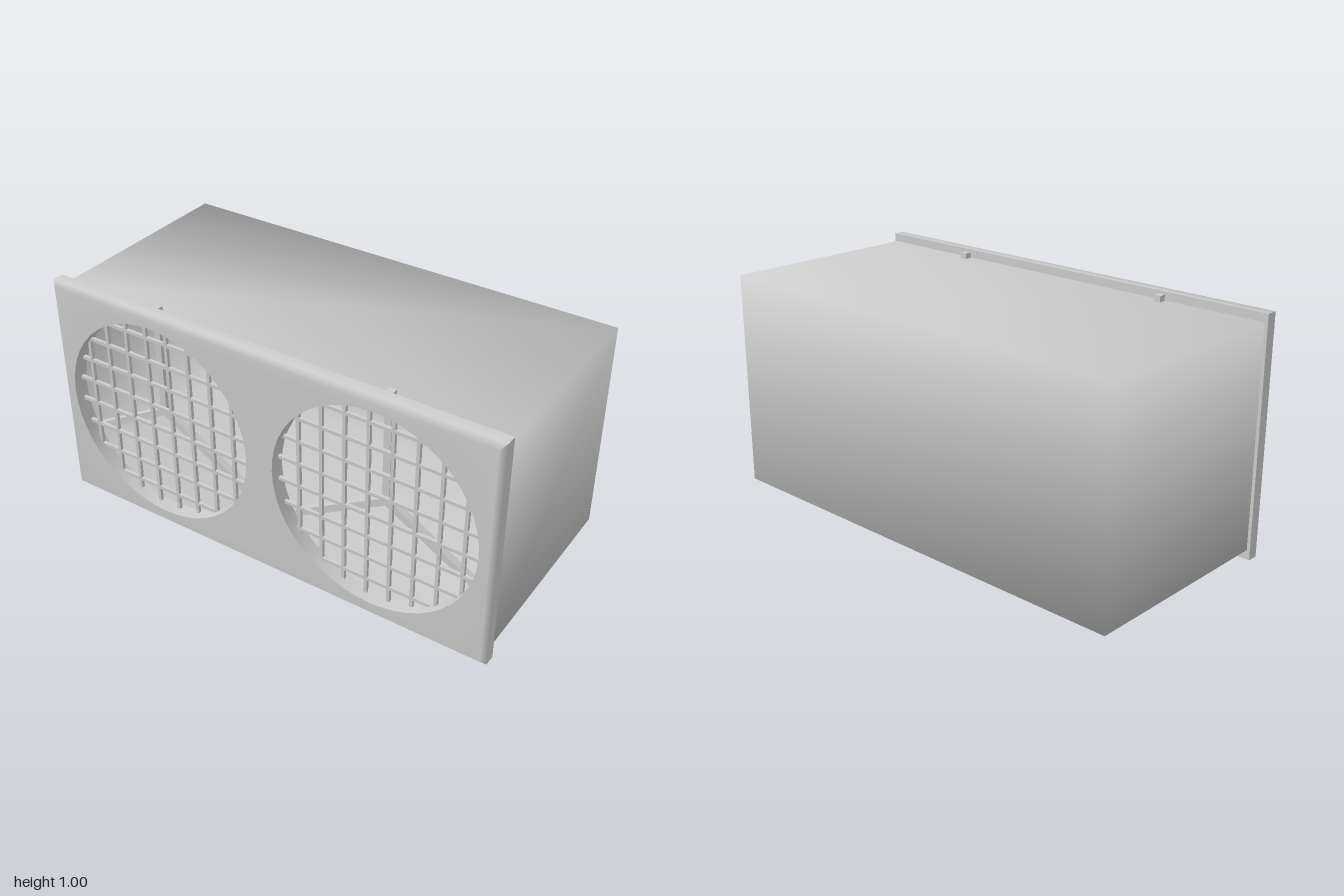
import * as THREE from 'three';
import { mergeVertices, toCreasedNormals } from 'three/addons/utils/BufferGeometryUtils.js';

const HOLE_R = 0.44, HOLE_Y = 0.505;
const grey = new THREE.MeshStandardMaterial({ color: 0xcccccc });
const greyDouble = new THREE.MeshStandardMaterial({ color: 0xcccccc, side: THREE.DoubleSide });

function addBox(parent, name, size, pos) {
  const mesh = new THREE.Mesh(new THREE.BoxGeometry(...size), grey);
  mesh.name = name;
  mesh.position.set(...pos);
  parent.add(mesh);
  return mesh;
}

// Housing: thin shell open at the front, with normals shared across its corners
function makeHousing() {
  let geo = new THREE.BoxGeometry(1.972, 0.925, 0.893);
  const index = Array.from(geo.index.array);
  index.splice(24, 6); // remove the +z face
  geo.setIndex(index);
  geo.deleteAttribute('uv');
  geo.deleteAttribute('normal');
  geo = mergeVertices(geo);
  geo.computeVertexNormals();
  const mesh = new THREE.Mesh(geo, greyDouble);
  mesh.name = 'housing';
  mesh.position.set(0, 0.5025, -0.0325);
  return mesh;
}

// Front panel: slab with two round openings and a chamfered front rim
function makeFrontPanel() {
  const shape = new THREE.Shape([[-1, 0], [1, 0], [1, 1], [-1, 1]].map(p => new THREE.Vector2(...p)));
  for (const x of [-0.5, 0.5]) {
    shape.holes.push(new THREE.Path().absarc(x, HOLE_Y, HOLE_R, 0, Math.PI * 2, true));
  }
  const geo = new THREE.ExtrudeGeometry(shape, { depth: 0.067, steps: 2, bevelEnabled: false, curveSegments: 24 });
  const p = geo.attributes.position;
  for (let i = 0; i < p.count; i++) {
    const layer = Math.round(p.getZ(i) / 0.0335);
    if (layer === 1) p.setZ(i, 0.047);
    if (layer === 2 && Math.abs(p.getX(i)) > 0.99) {
      p.setX(i, p.getX(i) * 0.98);
      p.setY(i, 0.5 + (p.getY(i) - 0.5) * 0.96);
    }
  }
  const mesh = new THREE.Mesh(toCreasedNormals(geo, 0.9), grey);
  mesh.name = 'frontPanel';
  mesh.position.z = 0.413;
  return mesh;
}

// Guard: crossed wires cut to the chord of the opening
function makeGuard(side) {
  const guard = new THREE.Group();
  guard.name = side > 0 ? 'leftGuard' : 'rightGuard';
  const t = 0.014, z = 0.435;
  for (let k = 0; k < 8; k++) {
    const x = side * (0.155 + 0.1015 * k);
    const y = 0.139 + 0.1036 * k;
    const chord = d => 2 * Math.sqrt(HOLE_R ** 2 - d ** 2) + 0.02;
    addBox(guard, 'verticalWire', [t, chord(x - side * 0.5), t], [x, HOLE_Y, z]);
    addBox(guard, 'horizontalWire', [chord(y - HOLE_Y), t, t], [side * 0.5, y, z]);
  }
  return guard;
}

// Fan support: three arms, the upper one poking through the housing top
function makeSupport(x, name) {
  const support = new THREE.Group();
  support.name = name;
  for (let i = 0; i < 3; i++) {
    const arm = new THREE.Group();
    arm.name = 'supportArm';
    addBox(arm, 'armBar', [0.03, 0.48, 0.03], [0, 0.24, 0]);
    arm.rotation.z = i * Math.PI * 2 / 3;
    support.add(arm);
  }
  support.position.set(x, 0.51, 0.39);
  return support;
}

export function createModel() {
  const model = new THREE.Group();
  model.name = 'twinFanUnit';
  model.add(
    makeHousing(), makeFrontPanel(), makeGuard(1), makeGuard(-1),
    makeSupport(0.516, 'leftSupport'), makeSupport(-0.53, 'rightSupport')
  );
  return model;
}
